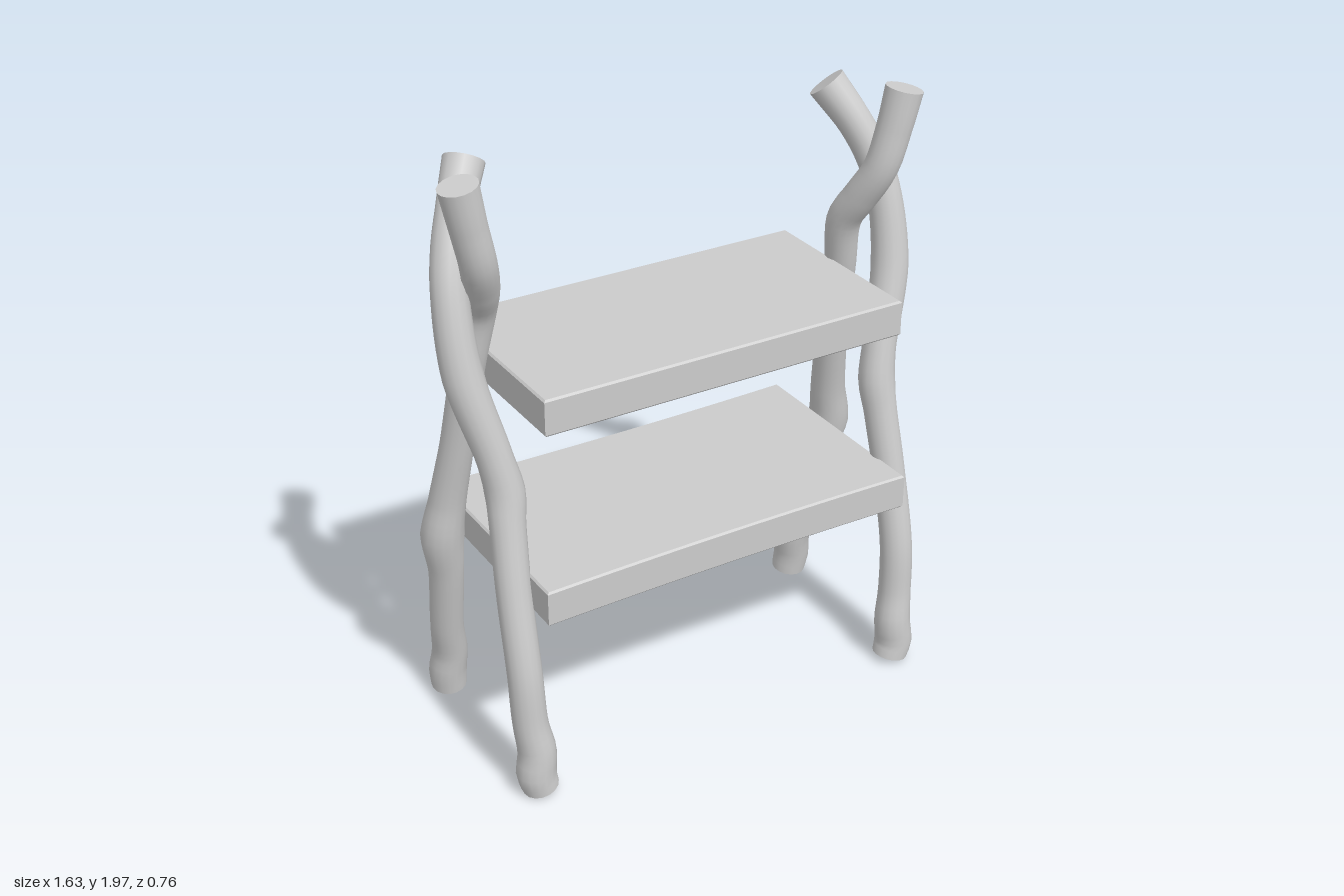
import * as THREE from 'three';

const material = new THREE.MeshStandardMaterial({ color: 0xcccccc });
const SIDES = 16, RINGS = 64;

// Knots along each branch from foot to tip: x, y, z, radius (left side of the model)
const FRONT_FOOT = [
  [0.672, 0.035, 0.318, 0.058], [0.685, 0.09, 0.318, 0.064], [0.678, 0.17, 0.315, 0.061],
  [0.69, 0.27, 0.302, 0.055], [0.695, 0.45, 0.288, 0.054], [0.69, 0.72, 0.228, 0.054],
  [0.678, 0.92, 0.183, 0.055], [0.672, 1.02, 0.163, 0.061], [0.69, 1.13, 0.142, 0.055],
  [0.752, 1.39, 0.092, 0.061], [0.753, 1.62, 0.038, 0.055], [0.727, 1.74, -0.002, 0.055],
  [0.685, 1.84, -0.045, 0.055], [0.62, 1.955, -0.108, 0.062],
];
const BACK_FOOT = [
  [0.685, 0.03, -0.317, 0.059], [0.69, 0.1, -0.306, 0.063], [0.685, 0.18, -0.292, 0.059],
  [0.7, 0.3, -0.265, 0.054], [0.715, 0.55, -0.208, 0.056], [0.733, 0.71, -0.175, 0.07],
  [0.715, 0.84, -0.16, 0.059], [0.69, 1.05, -0.118, 0.053], [0.665, 1.35, -0.055, 0.052],
  [0.645, 1.53, -0.015, 0.056], [0.66, 1.62, 0.042, 0.056], [0.69, 1.73, 0.1, 0.055],
  [0.722, 1.86, 0.115, 0.056], [0.748, 1.982, 0.121, 0.06],
];

// Flat disc closing one end ring of a branch
function cap(ring, centre, flip) {
  const pos = [];
  for (let j = 0; j < SIDES; j++) {
    const [a, b] = flip ? [ring[j + 1], ring[j]] : [ring[j], ring[j + 1]];
    pos.push(...centre.toArray(), ...a.toArray(), ...b.toArray());
  }
  const g = new THREE.BufferGeometry();
  g.setAttribute('position', new THREE.Float32BufferAttribute(pos, 3));
  g.computeVertexNormals();
  return new THREE.Mesh(g, material);
}

// Knotty branch: a tube whose rings are scaled to the radius at each knot
function branch(name, knots, side) {
  const curve = new THREE.CatmullRomCurve3(
    knots.map(([x, y, z]) => new THREE.Vector3(x * side, y, z)), false, 'centripetal');
  const geo = new THREE.TubeGeometry(curve, RINGS, 1, SIDES);
  const pos = geo.attributes.position, nor = geo.attributes.normal, v = new THREE.Vector3();
  const ends = { 0: [], [RINGS]: [] };
  for (let i = 0; i <= RINGS; i++) {
    const centre = curve.getPointAt(i / RINGS);
    const t = curve.getUtoTmapping(i / RINGS) * (knots.length - 1);
    const k = Math.min(Math.floor(t), knots.length - 2);
    const radius = THREE.MathUtils.lerp(knots[k][3], knots[k + 1][3], t - k);
    for (let j = 0; j <= SIDES; j++) {
      const n = i * (SIDES + 1) + j;
      v.fromBufferAttribute(nor, n).multiplyScalar(radius).add(centre);
      pos.setXYZ(n, v.x, v.y, v.z);
      if (ends[i]) ends[i].push(v.clone());
    }
  }
  const group = new THREE.Group();
  group.name = name;
  group.add(new THREE.Mesh(geo, material));
  // Orient each cap so that it faces out of the branch
  for (const i of [0, RINGS]) {
    const c = curve.getPointAt(i / RINGS), out = curve.getTangentAt(i / RINGS);
    if (i === 0) out.negate();
    const [a, b] = ends[i].map((p) => p.clone().sub(c));
    const disc = cap(ends[i], c, a.cross(b).dot(out) < 0);
    disc.name = i ? 'tipCut' : 'footCut';
    group.add(disc);
  }
  return group;
}

// Plank with slightly chamfered rims; long edges bow inwards by dip
function shelf(name, halfX, z0, z1, y0, y1, dip) {
  const bevel = 0.006, w = halfX - bevel, a = -z1 + bevel, b = -z0 - bevel;
  const s = new THREE.Shape();
  s.moveTo(-w, a);
  s.quadraticCurveTo(0, a + dip * 2, w, a);
  s.lineTo(w, b);
  s.quadraticCurveTo(0, b - dip * 2, -w, b);
  s.closePath();
  const geo = new THREE.ExtrudeGeometry(s, {
    depth: y1 - y0 - 2 * bevel, bevelEnabled: true, bevelSize: bevel,
    bevelThickness: bevel, bevelSegments: 1, curveSegments: 12,
  });
  geo.rotateX(-Math.PI / 2).translate(0, y0 + bevel, 0);
  const mesh = new THREE.Mesh(geo, material);
  mesh.name = name;
  return mesh;
}

export function createModel() {
  const model = new THREE.Group();
  model.name = 'branchShelf';
  for (const [label, side] of [['left', 1], ['right', -1]]) {
    model.add(branch(label + 'FrontBranch', FRONT_FOOT, side));
    model.add(branch(label + 'BackBranch', BACK_FOOT, side));
  }
  model.add(shelf('upperShelf', 0.62, -0.305, 0.335, 1.268, 1.386, 0));
  model.add(shelf('lowerShelf', 0.648, -0.368, 0.368, 0.652, 0.77, 0.011));
  return model;
}
